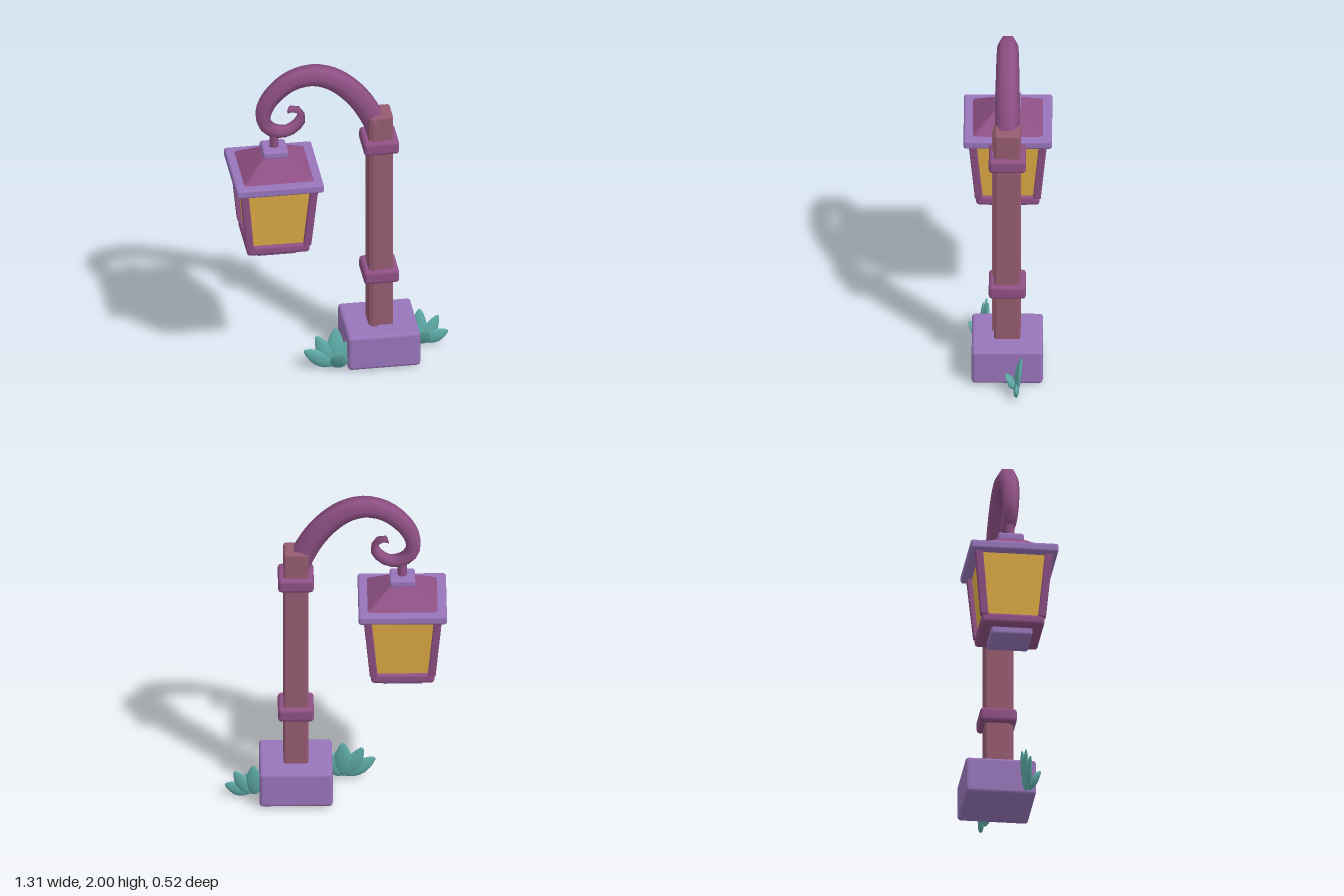
import * as THREE from 'three';
import { RoundedBoxGeometry } from 'three/addons/geometries/RoundedBoxGeometry.js';

const flat = (name, color) => {
  const m = new THREE.MeshStandardMaterial({ color });
  m.name = name;
  return m;
};

export function createModel() {
  const lilac = flat('lilac stone', 0x9875ba);
  const plum = flat('plum metal', 0x8f5085);
  const wood = flat('rosy wood', 0x955b70);
  const amber = flat('amber glass', 0xe0ac45);
  const teal = flat('teal leaf', 0x5eaba7);

  const model = new THREE.Group();
  model.name = 'streetLamp';
  const group = (name, x = 0, y = 0, z = 0) => {
    const g = new THREE.Group();
    g.name = name;
    g.position.set(x, y, z);
    model.add(g);
    return g;
  };
  const add = (parent, name, geo, mat, x = 0, y = 0, z = 0) => {
    const mesh = new THREE.Mesh(geo, mat);
    mesh.name = name;
    mesh.position.set(x, y, z);
    parent.add(mesh);
    return mesh;
  };
  // Bevelled box standing between two heights
  const block = (parent, name, mat, w, d, y0, y1, bevel, x = 0, z = 0) =>
    add(parent, name, new RoundedBoxGeometry(w, y1 - y0, d, 2, bevel), mat, x, (y0 + y1) / 2, z);
  // Bevelled box whose top and bottom have their own half width and centre
  const taper = (y0, y1, half0, half1, bevel, c0 = [0, 0], c1 = [0, 0]) => {
    const half = Math.max(half0, half1), h = y1 - y0;
    const geo = new RoundedBoxGeometry(half * 2, h, half * 2, 2, bevel);
    const p = geo.attributes.position;
    const mix = THREE.MathUtils.lerp;
    for (let i = 0; i < p.count; i++) {
      const t = p.getY(i) / h + 0.5;
      const s = mix(half0, half1, t) / half;
      p.setXYZ(i, p.getX(i) * s + mix(c0[0], c1[0], t), mix(y0, y1, t), p.getZ(i) * s + mix(c0[1], c1[1], t));
    }
    geo.computeVertexNormals();
    return geo;
  };

  // Base and post
  const post = group('post', 0.234);
  block(post, 'base', lilac, 0.432, 0.42, 0.008, 0.232, 0.02);
  block(post, 'shaft', wood, 0.147, 0.157, 0.2, 1.66, 0.016);
  block(post, 'frontStrip', wood, 0.034, 0.03, 0.2, 1.64, 0.005, -0.038, 0.077);
  block(post, 'lowerBand', plum, 0.212, 0.22, 0.528, 0.615, 0.022);
  block(post, 'upperBand', plum, 0.212, 0.22, 1.413, 1.5, 0.022);

  // Curled arm: six-sided tube that thins toward its tip
  const path = [
    [0.22, 1.55], [0.19, 1.625], [0.115, 1.755], [0.015, 1.863], [-0.075, 1.92], [-0.175, 1.942],
    [-0.29, 1.915], [-0.39, 1.837], [-0.447, 1.75], [-0.461, 1.67], [-0.432, 1.606], [-0.375, 1.575],
    [-0.32, 1.573], [-0.262, 1.607], [-0.229, 1.66], [-0.247, 1.703], [-0.275, 1.72], [-0.307, 1.716],
  ];
  const curve = new THREE.CatmullRomCurve3(path.map(([x, y]) => new THREE.Vector3(x, y, 0)));
  const steps = 36, sides = 6;
  const armGeo = new THREE.TubeGeometry(curve, steps, 1, sides, false);
  const pos = armGeo.attributes.position, nor = armGeo.attributes.normal;
  const v = new THREE.Vector3();
  for (let i = 0; i < pos.count; i++) {
    const ring = Math.floor(i / (sides + 1));
    const t = Math.min(ring, steps - 1) / steps;
    const r = ring === steps ? 0 : 0.076 - 0.012 * t - 0.042 * t * t;
    v.fromBufferAttribute(nor, i).multiplyScalar(r).add(curve.getPointAt(Math.min(ring / (steps - 1), 1)));
    pos.setXYZ(i, v.x, v.y, v.z);
  }
  add(group('arm'), 'curledArm', armGeo, plum);

  // Hanging lantern
  const lantern = group('lantern', -0.395);
  add(lantern, 'hanger', new THREE.CylinderGeometry(0.028, 0.028, 0.12, 8), plum, 0, 1.52);
  block(lantern, 'cap', lilac, 0.152, 0.157, 1.425, 1.477, 0.016);
  add(lantern, 'roof', taper(1.3, 1.442, 0.253, 0.066, 0.025), plum);
  block(lantern, 'brim', lilac, 0.522, 0.522, 1.28, 1.335, 0.014);
  add(lantern, 'glass', taper(0.885, 1.29, 0.168, 0.202, 0.002), amber);
  for (const sx of [-1, 1]) {
    for (const sz of [-1, 1]) {
      add(lantern, 'cornerBar',
        taper(0.885, 1.285, 0.023, 0.023, 0.006, [sx * 0.171, sz * 0.171], [sx * 0.208, sz * 0.208]), plum);
    }
  }
  block(lantern, 'lowerFrame', plum, 0.375, 0.375, 0.836, 0.898, 0.02);
  block(lantern, 'footPlate', lilac, 0.244, 0.244, 0.793, 0.85, 0.014);

  // Leaf: flattened ball with a pointed tip, from its root to its tip
  const leaf = (parent, root, tip, width) => {
    const a = new THREE.Vector3(...root), b = new THREE.Vector3(...tip);
    const dir = b.clone().sub(a);
    const geo = new THREE.SphereGeometry(0.5, 10, 8);
    const p = geo.attributes.position;
    for (let i = 0; i < p.count; i++) {
      const s = 1 - 0.7 * Math.max(0, p.getY(i));
      p.setX(i, p.getX(i) * s);
      p.setZ(i, p.getZ(i) * s);
    }
    geo.scale(width, dir.length(), width * 0.38);
    geo.computeVertexNormals();
    dir.normalize();
    const side = new THREE.Vector3().crossVectors(dir, new THREE.Vector3(0, 0, 1)).normalize();
    const face = new THREE.Vector3().crossVectors(side, dir);
    const mesh = add(parent, 'leaf', geo, teal);
    mesh.quaternion.setFromRotationMatrix(new THREE.Matrix4().makeBasis(side, dir, face));
    mesh.position.copy(a.add(b).multiplyScalar(0.5));
  };

  // Two leafy tufts beside the base, each leaf as root, tip, width
  const tuft = (name, x, z, leaves) => {
    const g = group(name, x, 0, z);
    leaves.forEach(([root, tip, width]) => leaf(g, root, tip, width));
  };
  tuft('rightTuft', -0.04, 0.145, [
    [[-0.01, 0.012, 0], [-0.005, 0.257, -0.03], 0.11],
    [[-0.02, 0.012, 0], [-0.122, 0.217, -0.02], 0.1],
    [[-0.025, 0.022, 0], [-0.197, 0.137, 0], 0.1],
    [[0.01, 0.012, 0], [0.075, 0.18, -0.01], 0.095],
    [[-0.01, 0.012, 0.01], [0.025, 0.14, 0.085], 0.108],
  ]);
  tuft('leftTuft', 0.49, -0.055, [
    [[-0.008, 0.01, 0], [-0.004, 0.222, -0.03], 0.092],
    [[0.017, 0.01, 0], [0.106, 0.178, -0.017], 0.084],
    [[0.022, 0.02, 0], [0.163, 0.08, 0.004], 0.09],
    [[-0.008, 0.01, 0], [-0.042, 0.152, -0.008], 0.08],
    [[-0.005, 0.01, 0.008], [0.034, 0.12, 0.065], 0.09],
  ]);

  return model;
}
